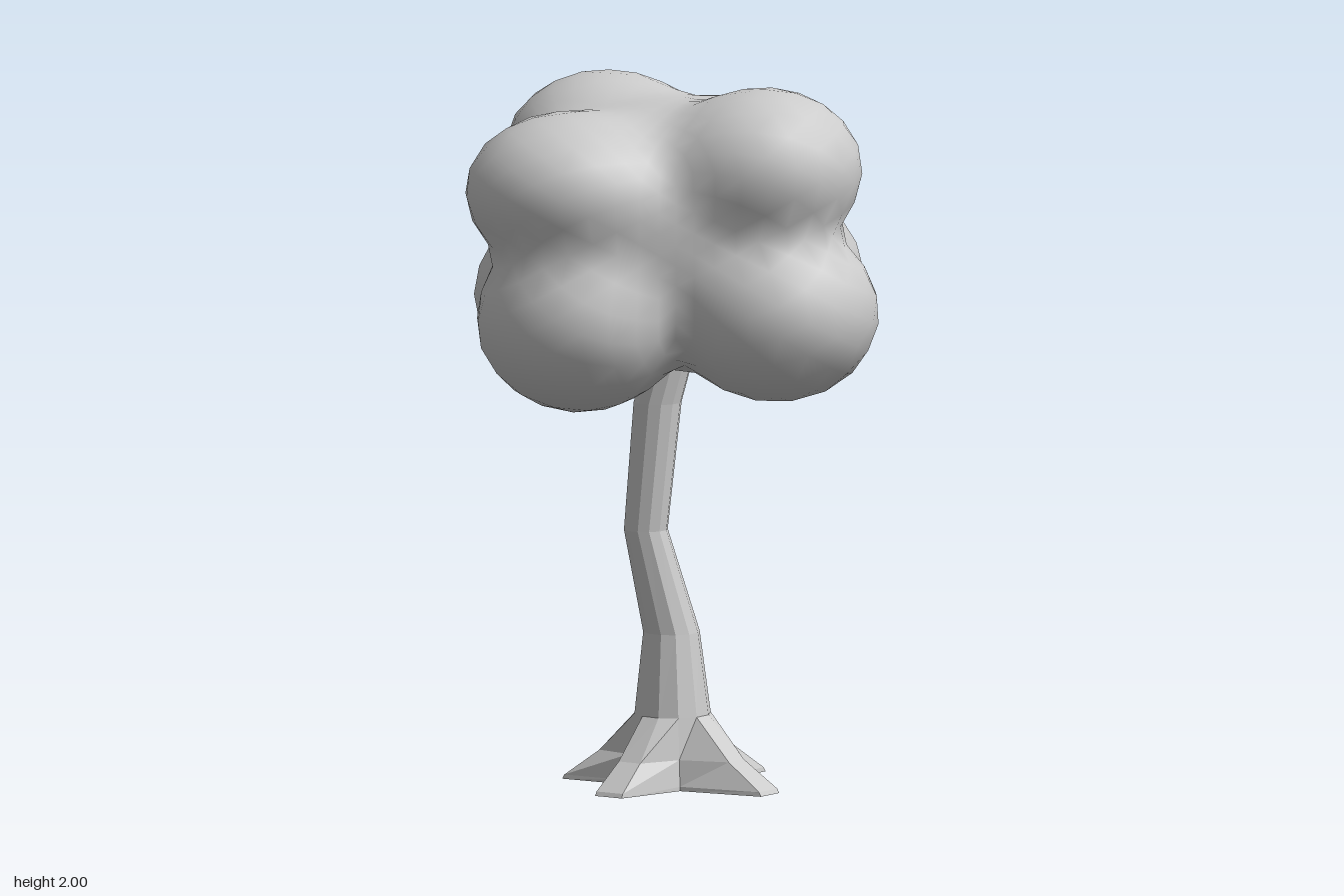
import * as THREE from 'three';
import { mergeVertices } from 'three/addons/utils/BufferGeometryUtils.js';

// Foliage lobes: centre x, y, z, horizontal radius, vertical radius
const LOBES = [
  // lower tier
  [0.29, 1.37, 0.25, 0.29, 0.25], [-0.26, 1.35, 0.22, 0.29, 0.26],
  [0.28, 1.4, -0.25, 0.285, 0.25], [-0.25, 1.35, -0.25, 0.28, 0.26],
  // upper tier
  [-0.29, 1.71, 0.18, 0.29, 0.22], [0.26, 1.77, 0.21, 0.275, 0.23],
  [-0.16, 1.77, -0.26, 0.28, 0.215], [0.22, 1.71, -0.16, 0.27, 0.21],
  // core
  [0, 1.58, 0, 0.43, 0.36],
];

// Soft union of the lobes: positive inside, negative outside
function inside(p) {
  let sum = 0;
  for (const [x, y, z, r, h] of LOBES) {
    const d = Math.hypot((p.x - x) / r, (p.y - y) / h, (p.z - z) / r);
    sum += Math.exp(-9 * (d - 1));
  }
  return sum - 1;
}

// A sphere shrunk along its rays until it meets the lobes
function crownGeometry() {
  let geo = new THREE.IcosahedronGeometry(1, 8);
  geo.deleteAttribute('normal');
  geo.deleteAttribute('uv');
  geo = mergeVertices(geo, 1e-4);
  const centre = new THREE.Vector3(0, 1.56, 0);
  const pos = geo.attributes.position;
  const dir = new THREE.Vector3(), p = new THREE.Vector3();
  for (let i = 0; i < pos.count; i++) {
    dir.fromBufferAttribute(pos, i).normalize();
    let r = 1;
    do {
      r -= 0.002;
      p.copy(centre).addScaledVector(dir, r);
    } while (r > 0.1 && inside(p) < 0);
    pos.setXYZ(i, p.x, p.y, p.z);
  }
  geo.computeVertexNormals();
  return geo;
}

// Skin a stack of rings into an open tube
function loft(rings) {
  const n = rings[0].length, index = [];
  for (let j = 0; j < rings.length - 1; j++) {
    for (let i = 0; i < n; i++) {
      const a = j * n + i, b = j * n + (i + 1) % n;
      index.push(a, a + n, b, b, a + n, b + n);
    }
  }
  const geo = new THREE.BufferGeometry();
  geo.setAttribute('position', new THREE.Float32BufferAttribute(rings.flat(2), 3));
  geo.setIndex(index);
  geo.computeVertexNormals();
  return geo;
}

function trunkGeometry() {
  const SIDES = 12;
  const ring = (x, y, z, rx, rz) => Array.from({ length: SIDES }, (_, i) => {
    const a = THREE.MathUtils.degToRad(25 + i * 30);
    return [x + rx * Math.cos(a), y, z + rz * Math.sin(a)];
  });
  // Root tips; each owns two ring corners, with a valley corner after it
  const tips = [[0.275, 0.215], [-0.18, 0.235], [-0.265, -0.17], [0.255, -0.275]];
  const collar = ring(0.015, 0.2, -0.03, 0.108, 0.122);
  const foot = collar.map(([x, , z], i) => {
    if (i % 3 === 2) return [0.015 + (x - 0.015) * 1.3, 0, -0.03 + (z + 0.03) * 1.3];
    const [tx, tz] = tips[Math.floor(i / 3)];
    const s = (i % 3 === 0 ? -0.045 : 0.045) / Math.hypot(tx, tz);
    return [tx - tz * s, 0, tz + tx * s];
  });
  const blend = (t, y) => foot.map((f, i) => [
    THREE.MathUtils.lerp(collar[i][0], f[0], t), y,
    THREE.MathUtils.lerp(collar[i][2], f[2], t)]);
  return loft([
    foot,
    blend(0.97, 0.012),
    blend(0.5, 0.085),
    collar,
    ring(0.012, 0.43, -0.033, 0.08, 0.085),
    ring(-0.06, 0.72, -0.03, 0.062, 0.063),
    ring(-0.027, 1.08, -0.03, 0.068, 0.066),
    ring(0.005, 1.2, -0.03, 0.068, 0.07),
    ring(0.025, 1.28, -0.03, 0.07, 0.07),
  ]);
}

export function createModel() {
  const model = new THREE.Group();
  model.name = 'tree';

  const trunk = new THREE.Mesh(trunkGeometry(), new THREE.MeshStandardMaterial({
    color: 0xcccccc, flatShading: true, side: THREE.DoubleSide }));
  trunk.name = 'trunkAndRoots';

  const crown = new THREE.Mesh(crownGeometry(),
    new THREE.MeshStandardMaterial({ color: 0xcccccc }));
  crown.name = 'foliageCrown';

  model.add(trunk, crown);
  return model;
}
